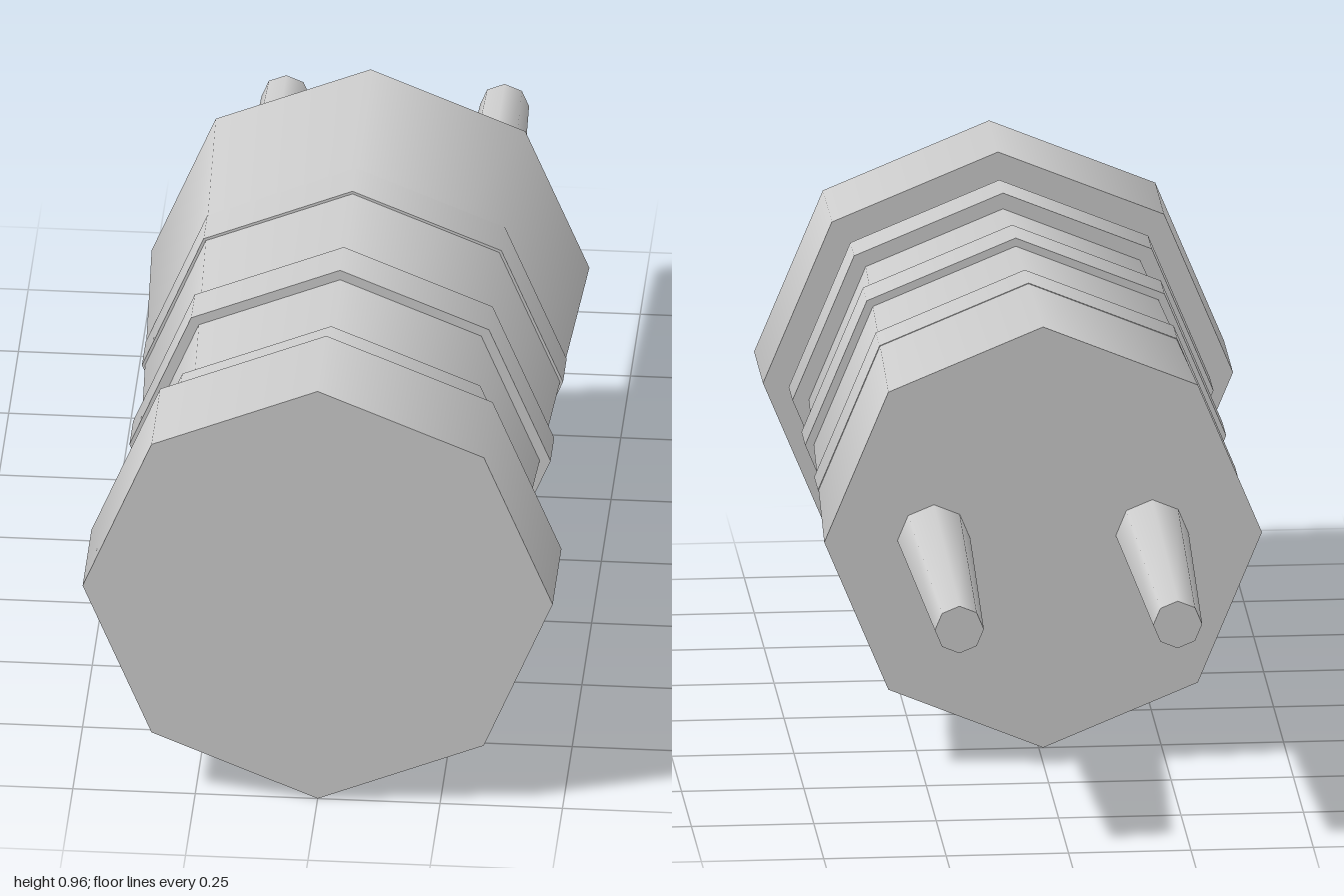
import * as THREE from 'three';

const SIDES = 8;
const AXIS_Y = 0.48;

export function createModel() {
  const group = new THREE.Group();
  const grey = new THREE.MeshStandardMaterial({ color: 0xcccccc });
  grey.name = 'plain grey';

  // Smooth-shaded octagonal section lying along z, between two depths
  function section(name, zBack, zFront, rBack, rFront, x = 0) {
    const geometry = new THREE.CylinderGeometry(rFront, rBack, zFront - zBack, SIDES);
    geometry.rotateX(Math.PI / 2);
    const mesh = new THREE.Mesh(geometry, grey);
    mesh.name = name;
    mesh.position.set(x, AXIS_Y, (zBack + zFront) / 2);
    group.add(mesh);
  }

  // Tapered body and wide front cap
  section('body', -0.36, 0.78, 0.447, 0.39);
  section('frontCap', 0.775, 1, 0.48, 0.48);

  // Grip rings; the rear one sinks into the widening body
  [0.01, 0.33, 0.65].forEach((z, i) => section('gripRing' + (i + 1), z, z + 0.094, 0.43, 0.43));

  // Pair of tapered contact pins
  section('leftPin', -1, -0.35, 0.05, 0.075, 0.223);
  section('rightPin', -1, -0.35, 0.05, 0.075, -0.223);

  return group;
}
